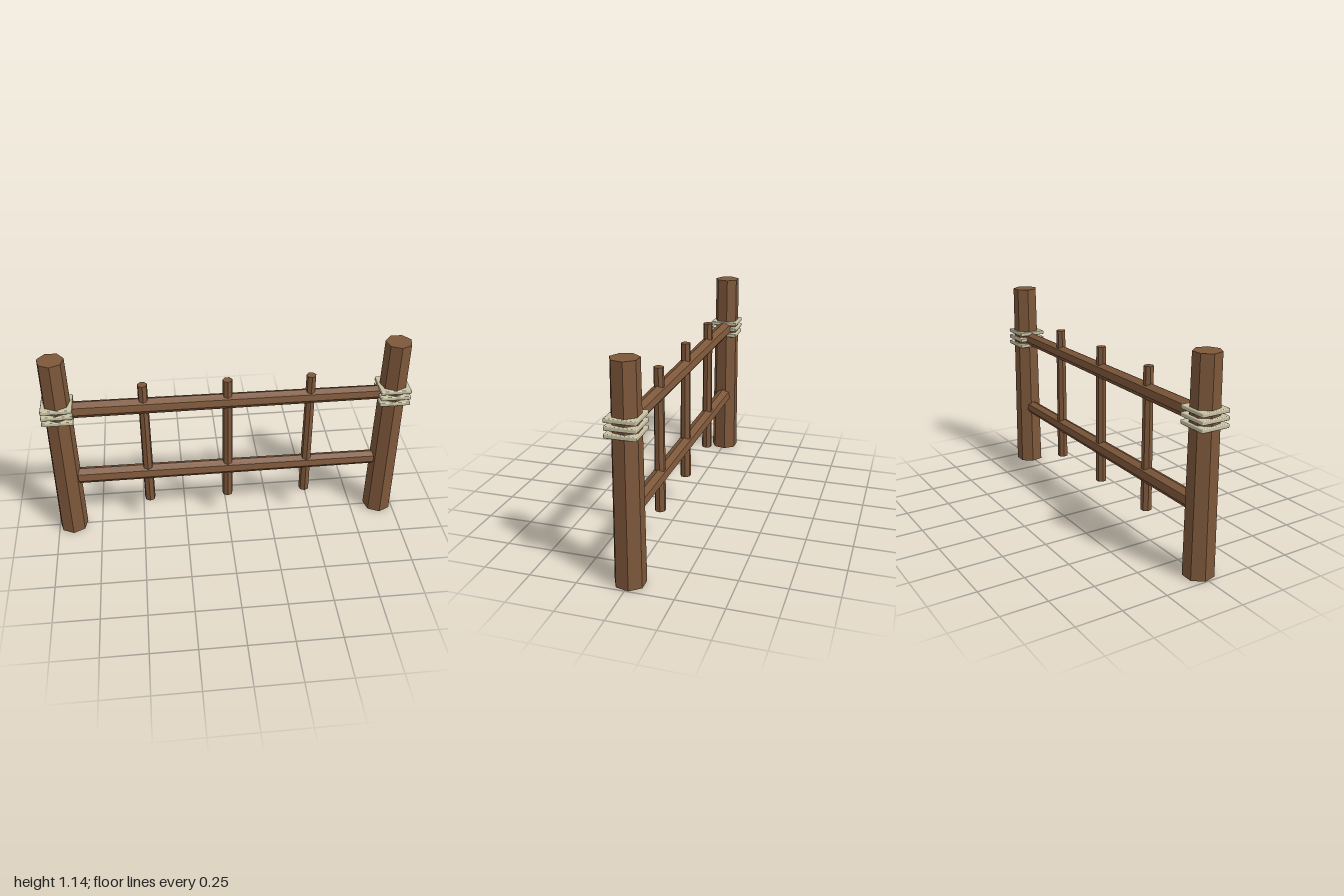
import * as THREE from 'three';
import { RoundedBoxGeometry } from 'three/addons/geometries/RoundedBoxGeometry.js';

const POST_X = 0.916;
const TOP_RAIL_Y = 0.826;

export function createModel() {
  const group = new THREE.Group();
  group.name = 'fence';

  const wood = new THREE.MeshStandardMaterial({ color: 0x7d573a, flatShading: true });
  wood.name = 'brown wood';
  const rope = new THREE.MeshStandardMaterial({ color: 0xc8c2a4 });
  rope.name = 'pale rope';

  const add = (name, geometry, material, x, y, z = 0) => {
    const mesh = new THREE.Mesh(geometry, material);
    mesh.name = name;
    mesh.position.set(x, y, z);
    group.add(mesh);
    return mesh;
  };

  // Tapered seven-sided log
  const log = (top, bottom, length) => new THREE.CylinderGeometry(top, bottom, length, 7);

  // Posts, each bound with three rope wraps
  for (const [side, s] of [['left', 1], ['right', -1]]) {
    add(side + 'Post', log(0.072, 0.082, 1.14), wood, s * POST_X, 0.57);
    for (const i of [-1, 0, 1]) {
      const wrap = new RoundedBoxGeometry(0.168, 0.022, 0.16, 2, 0.005);
      add(side + 'RopeWrap', wrap, rope, s * POST_X, TOP_RAIL_Y + i * 0.0375, 0.001);
    }
  }

  // Rails, thicker at the right end, with one ridge facing up
  for (const [name, y] of [['topRail', TOP_RAIL_Y], ['bottomRail', 0.369]]) {
    const rail = log(0.04, 0.0465, 1.7).rotateX(-Math.PI / 2).rotateY(-Math.PI / 2);
    add(name, rail, wood, 0, y);
  }

  // Upright pickets passing through both rails
  for (const x of [-0.456, 0, 0.456]) {
    add('picket', log(0.027, 0.0305, 0.793), wood, x, 0.5635);
  }

  return group;
}
